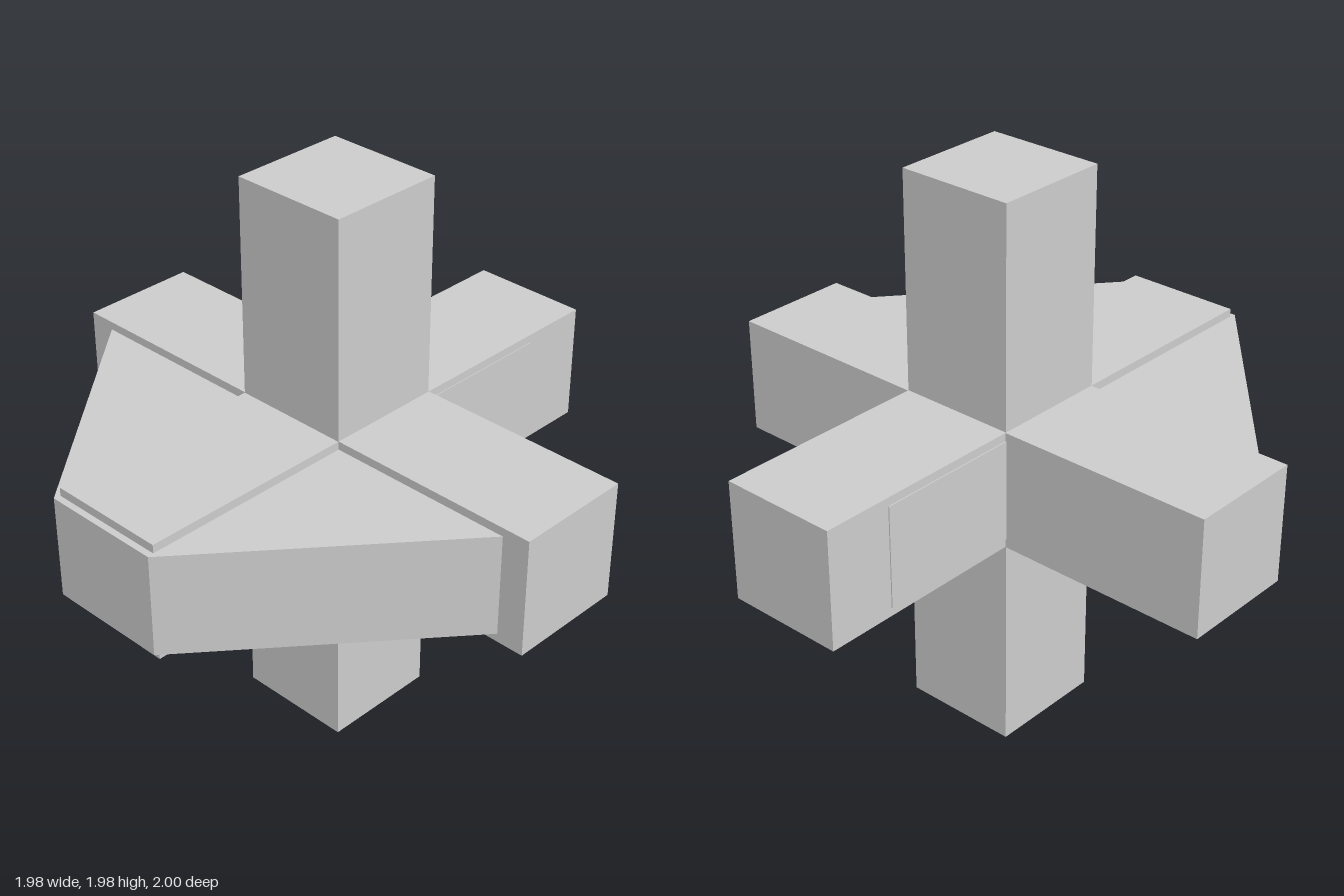
import * as THREE from 'three';

export function createModel() {
  const group = new THREE.Group();
  const material = new THREE.MeshStandardMaterial({ color: 0xcccccc, flatShading: true });

  function add(name, geometry) {
    const mesh = new THREE.Mesh(geometry, material);
    mesh.name = name;
    group.add(mesh);
  }

  // Box given by its lowest and highest corners
  function bar(name, [x0, y0, z0], [x1, y1, z1]) {
    const geometry = new THREE.BoxGeometry(x1 - x0, y1 - y0, z1 - z0);
    geometry.translate((x0 + x1) / 2, (y0 + y1) / 2, (z0 + z1) / 2);
    add(name, geometry);
  }

  // Three crossing bars
  bar('verticalBar', [-0.215, 0, -0.222], [0.212, 1.98, 0.202]);
  bar('crossBar', [-0.99, 0.78, -0.225], [0.987, 1.205, 0.2]);
  bar('lengthwiseBar', [-0.215, 0.78, -1], [0.212, 1.205, 0.977]);

  // Tapered wedge between the arms, with a narrow tail along the rear arm
  const half = [[0.217, 1], [0.89, 0.2], [0.89, 0.1], [0.217, 0.1], [0.217, -0.75]];
  const outline = [...half, ...half.map(([x, z]) => [-x, z]).reverse()];
  const shape = new THREE.Shape(outline.map(([x, z]) => new THREE.Vector2(x - 0.002, -z)));
  const wedge = new THREE.ExtrudeGeometry(shape, { depth: 0.365, bevelEnabled: false });
  wedge.rotateX(-Math.PI / 2).translate(0, 0.81, 0);
  add('wedge', wedge);

  return group;
}
